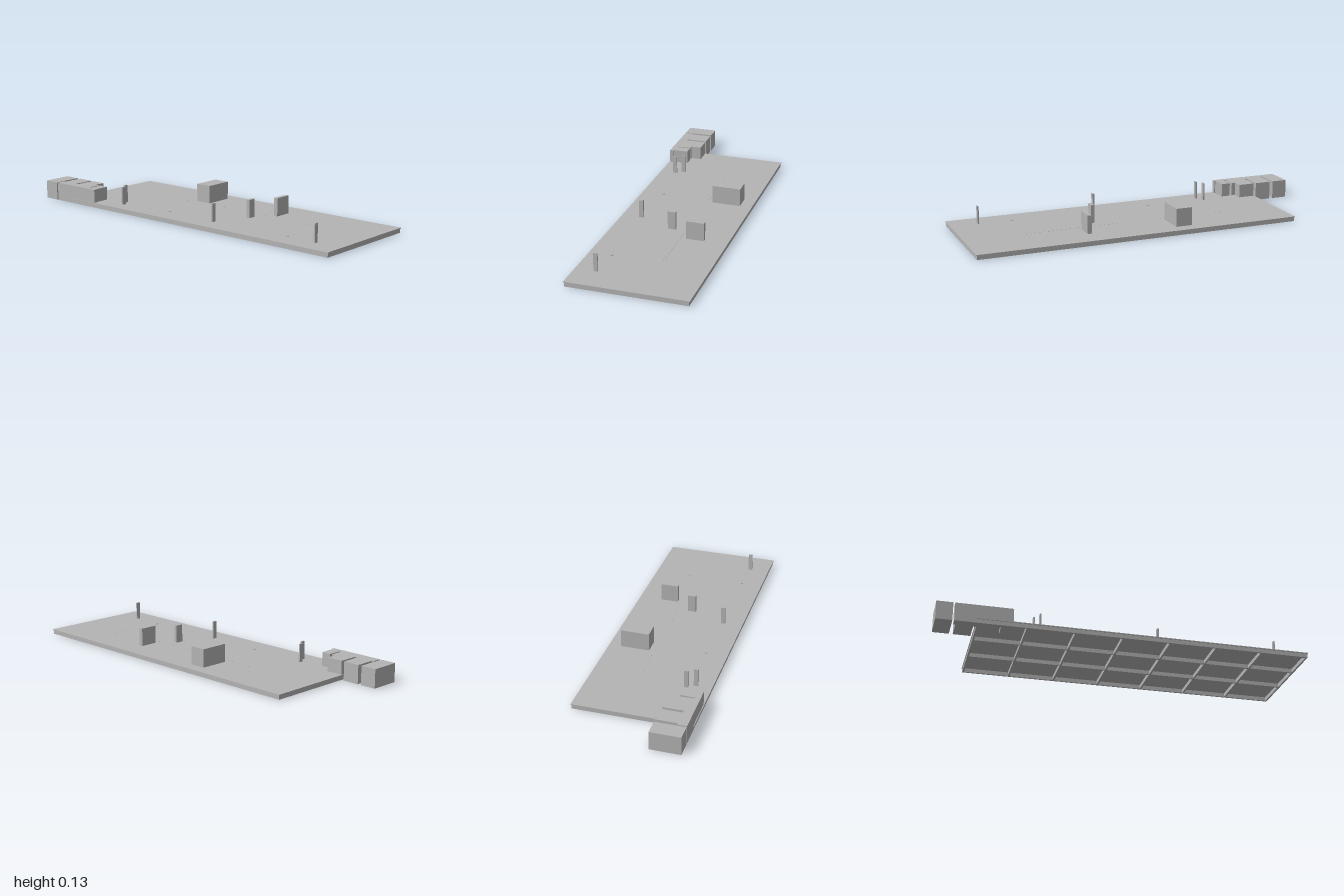
import * as THREE from 'three';

export function createModel() {
  const model = new THREE.Group();
  const grey = new THREE.MeshStandardMaterial({ color: 0xb4b4b4 });
  grey.name = 'plain grey';

  const add = (name, geometry) => {
    const mesh = new THREE.Mesh(geometry, grey);
    mesh.name = name;
    model.add(mesh);
    return mesh;
  };
  // Box given by its limits on each axis
  const block = (name, x0, x1, y0, y1, z0, z1) =>
    add(name, new THREE.BoxGeometry(x1 - x0, y1 - y0, z1 - z0))
      .position.set((x0 + x1) / 2, (y0 + y1) / 2, (z0 + z1) / 2);
  // Plan outline in x and z, raised from y0 to y1
  const raise = (name, shape, y0, y1) => {
    const g = new THREE.ExtrudeGeometry(shape, { depth: y1 - y0, bevelEnabled: false });
    g.rotateX(Math.PI / 2);
    g.translate(0, y1, 0);
    return add(name, g);
  };
  const rect = (x0, x1, z0, z1) => [[x0, z0], [x1, z0], [x1, z1], [x0, z1]]
    .map(([x, z]) => new THREE.Vector2(x, z));

  // Slab: thin deck over a grid of ribs that is open below
  const left = -0.787, right = 0.997, edge = 0.317, rib = 0.01;
  const columns = 7, rows = 3;
  const frame = new THREE.Shape(rect(left, right, -edge, edge));
  const cellX = (right - left - rib) / columns, cellZ = (2 * edge - rib) / rows;
  for (let i = 0; i < columns; i++) {
    for (let j = 0; j < rows; j++) {
      const x = left + rib + i * cellX, z = -edge + rib + j * cellZ;
      frame.holes.push(new THREE.Path(rect(x, x + cellX - rib, z, z + cellZ - rib)));
    }
  }
  raise('ribbedFrame', frame, 0, 0.022);
  block('deck', left - 0.003, 1, 0.022, 0.027, -0.321, 0.321);

  // Corner building: notched bays joined along the front
  const hall = [
    [-0.904, 0.317], [-0.904, 0.267], [-0.893, 0.267], [-0.893, 0.155],
    [-0.802, 0.155], [-0.802, 0.267], [-0.786, 0.267], [-0.786, 0.155],
    [-0.695, 0.155], [-0.695, 0.212], [-0.674, 0.212], [-0.671, 0.29],
    [-0.663, 0.29], [-0.661, 0.212], [-0.61, 0.212], [-0.608, 0.295],
    [-0.602, 0.295], [-0.602, 0.317],
  ];
  raise('cornerBuilding', new THREE.Shape(hall.map(([x, z]) => new THREE.Vector2(x, z))), 0, 0.101);
  block('endBuilding', -1, -0.913, 0, 0.101, 0.155, 0.317);

  // Towers standing on the deck
  const towers = [
    ['largeTower', -0.2, -0.108, -0.254, -0.097],
    ['wallTower', 0.348, 0.371, -0.195, -0.097],
    ['middleTower', 0.265, 0.284, -0.012, 0.031],
    ['slimTowerA', -0.483, -0.475, 0.18, 0.203],
    ['slimTowerB', -0.456, -0.447, 0.224, 0.248],
    ['slimTowerC', 0.184, 0.195, 0.2, 0.224],
    ['slimTowerD', 0.844, 0.852, 0.2, 0.222],
  ];
  for (const [name, x0, x1, z0, z1] of towers) block(name, x0, x1, 0.027, 0.126, z0, z1);

  // Faint dashed path on the deck
  for (let x = -0.467; x < 0.66; x += 0.024) block('pathDash', x, x + 0.012, 0.027, 0.0275, -0.07, -0.067);
  for (let z = -0.15; z < -0.075; z += 0.024) block('pathDash', 0.665, 0.668, 0.027, 0.0275, z, z + 0.012);

  // Small studs
  for (const x of [-0.135, 0.666]) {
    add('stud', new THREE.CylinderGeometry(0.009, 0.009, 0.003, 12)).position.set(x, 0.0285, 0.2);
  }
  return model;
}
